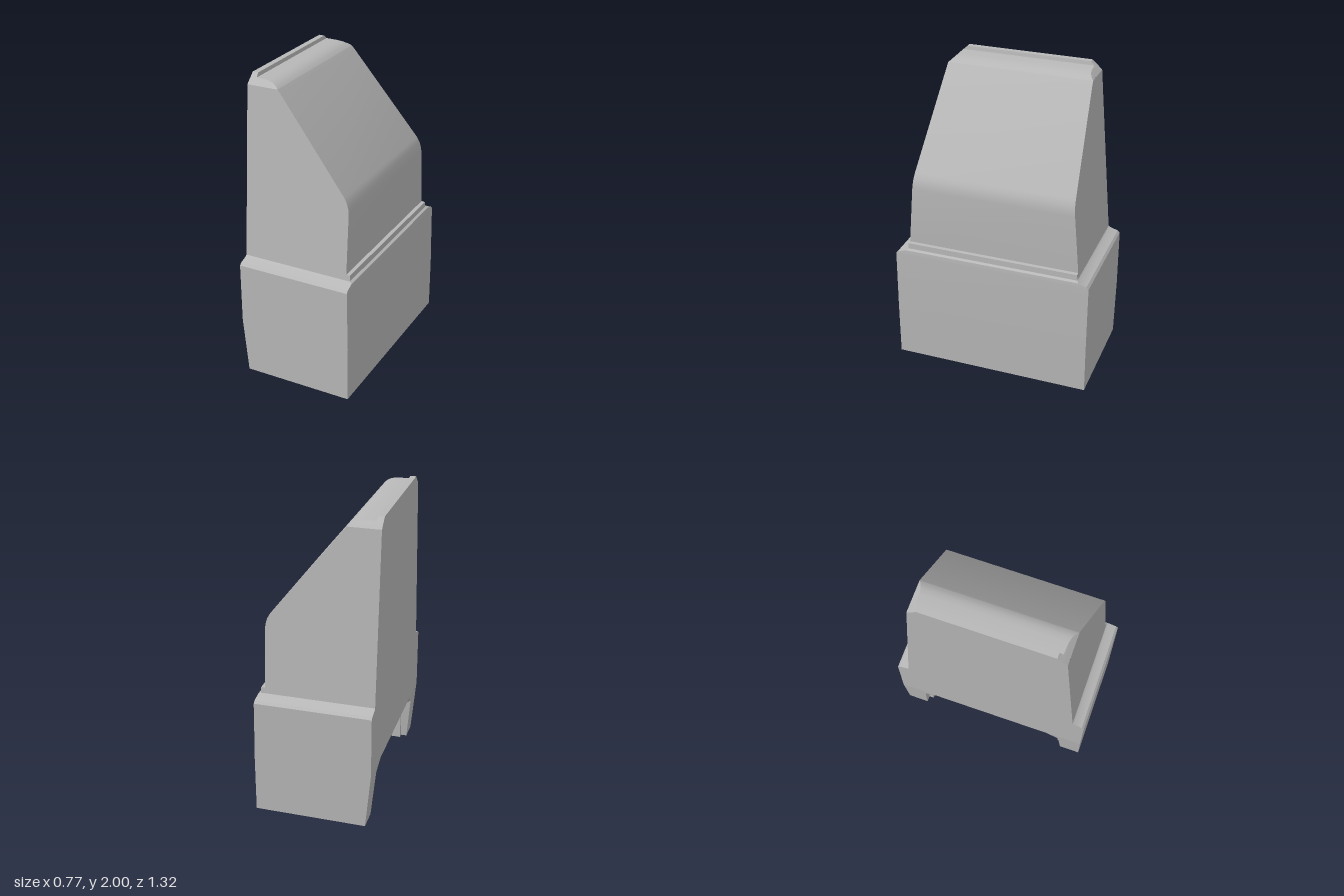
import * as THREE from 'three';
import { toCreasedNormals } from 'three/addons/utils/BufferGeometryUtils.js';

// Collects convex polygons (corners counter-clockwise from outside) as triangles
class Faces {
  constructor() { this.data = []; }
  add(...p) {
    for (let i = 1; i < p.length - 1; i++) this.data.push(...p[0], ...p[i], ...p[i + 1]);
  }
  // Adds a face and its mirror image across z = 0
  addPair(...p) {
    this.add(...p);
    this.add(...p.map(([x, y, z]) => [x, y, -z]).reverse());
  }
  mesh(name, material) {
    const g = new THREE.BufferGeometry();
    g.setAttribute('position', new THREE.Float32BufferAttribute(this.data, 3));
    const mesh = new THREE.Mesh(toCreasedNormals(g, 0.4), material);
    mesh.name = name;
    return mesh;
  }
}

const mirror = ([x, y, z]) => [x, y, -z];

// Stacks rectangular sections [y, back x, front x, half width]
function loft(faces, rows, openBack = false) {
  for (let i = 0; i < rows.length - 1; i++) {
    const [y0, a0, b0, h0] = rows[i];
    const [y1, a1, b1, h1] = rows[i + 1];
    faces.add([b0, y0, h0], [b0, y0, -h0], [b1, y1, -h1], [b1, y1, h1]);
    faces.addPair([a0, y0, h0], [b0, y0, h0], [b1, y1, h1], [a1, y1, h1]);
    if (!(openBack && i === 0)) {
      faces.add([a0, y0, -h0], [a0, y0, h0], [a1, y1, h1], [a1, y1, -h1]);
    }
  }
}

export function createModel() {
  const group = new THREE.Group();
  group.name = 'taperedBlock';
  const grey = new THREE.MeshStandardMaterial({ color: 0xb8b8b8 });
  grey.name = 'grey';
  const back = -0.385;

  // Wide base with bevelled shoulders; its lowest back band is built with the recess
  const base = new Faces();
  loft(base, [
    [0, -0.35, 0.385, 0.66], [0.38, back, 0.385, 0.66], [0.455, back, 0.383, 0.66],
    [0.78, back, 0.377, 0.66], [0.795, back, 0.376, 0.645],
    [0.812, back, 0.374, 0.59], [0.82, back, 0.357, 0.58],
  ], true);
  group.add(base.mesh('base', grey));

  // Tapered upper body: ledge, rounded brow, long slope and rounded crest
  const width = (y) => 0.58 - (y - 0.82) * 0.0848;
  const profile = [
    [0.82, 0.357], [0.858, 0.355], [0.86, 0.331], [1.25, 0.329], [1.285, 0.325],
    [1.32, 0.315], [1.355, 0.295], [1.92, -0.157], [1.94, -0.176],
  ];
  const upper = new Faces();
  loft(upper, profile.map(([y, x]) => [y, back, x, width(y)]));
  group.add(upper.mesh('upperBody', grey));

  // Chamfered crest with a narrow raised lip along the back
  const crest = new Faces();
  loft(crest, [
    [1.94, back, -0.176, 0.485], [1.955, back, -0.197, 0.469], [1.967, back, -0.225, 0.456],
    [1.974, back, -0.265, 0.448], [1.977, back, -0.342, 0.444], [2, back, -0.347, 0.42],
  ]);
  crest.add([back, 2, 0.42], [-0.347, 2, 0.42], [-0.347, 2, -0.42], [back, 2, -0.42]);
  group.add(crest.mesh('crest', grey));

  // Key corners of the recess on the +z half
  const mouthFoot = [-0.35, 0, 0.52], mouthSide = [-0.3785, 0.31, 0.5], mouthTop = [-0.384, 0.37, 0.41];
  const stepFoot = [-0.31, 0, 0.52], stepTop = [-0.31, 0.262, 0.5];
  const wallFoot = [-0.31, 0, 0.486], wallTop = [-0.31, 0.252, 0.485];
  const wallEnd = [-0.015, 0, 0.486], roofEnd = [0.07, 0, 0.43];
  const backFoot = [-0.35, 0, 0.66], backTop = [back, 0.38, 0.66], frontFoot = [0.385, 0, 0.66];

  // Sloping back band around the recess mouth
  const band = new Faces();
  band.addPair(mouthFoot, backFoot, backTop, mouthSide);
  band.addPair(backTop, mouthTop, mouthSide);
  band.add(mirror(mouthTop), mouthTop, backTop, mirror(backTop));
  group.add(band.mesh('lowerBack', grey));

  // Underside
  const under = new Faces();
  under.addPair(mouthFoot, stepFoot, frontFoot, backFoot);
  under.addPair(wallFoot, wallEnd, frontFoot, stepFoot);
  under.addPair(wallEnd, roofEnd, frontFoot);
  under.add(roofEnd, mirror(roofEnd), mirror(frontFoot), frontFoot);
  group.add(under.mesh('underside', grey));

  // Wedge-shaped recess: stepped side walls, chamfered corners, slanted roof
  const recess = new Faces();
  recess.addPair(mouthFoot, mouthSide, stepTop, stepFoot);
  recess.addPair(wallFoot, stepFoot, stepTop, wallTop);
  recess.addPair(wallFoot, wallTop, wallEnd);
  recess.addPair(wallEnd, wallTop, mouthTop, roofEnd);
  recess.addPair(wallTop, stepTop, mouthSide, mouthTop);
  recess.add(mirror(roofEnd), roofEnd, mouthTop, mirror(mouthTop));
  group.add(recess.mesh('recess', grey));

  return group;
}
